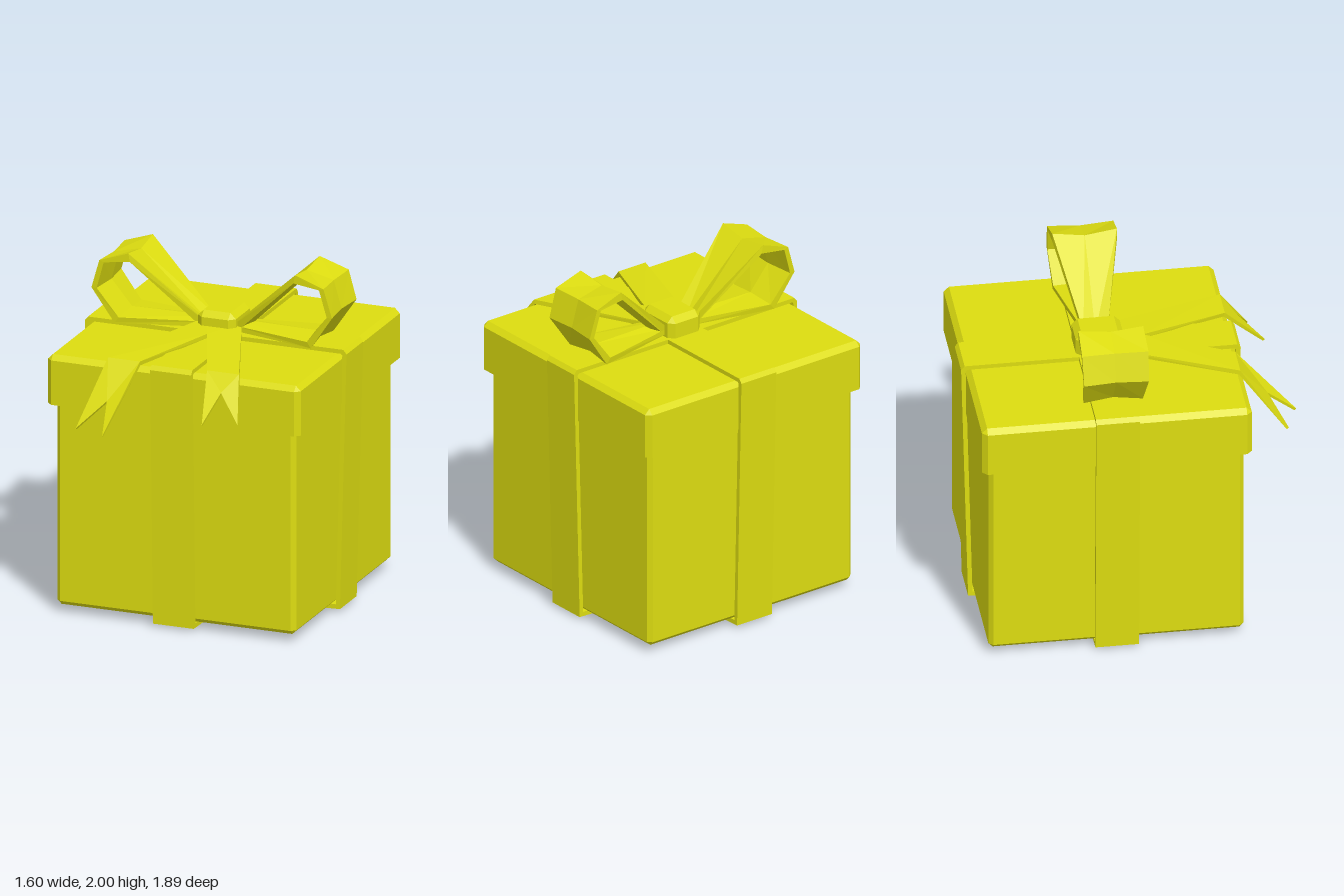
import * as THREE from 'three';
import { ConvexGeometry } from 'three/addons/geometries/ConvexGeometry.js';

const CZ = -0.147; // depth centre of the box; the bow tails reach forward of it

// Box with every edge cut by c; the bottom rim stays sharp if cutBottom is false
function chamferBox(hx, y0, y1, hz, c, cutBottom = true) {
  const pts = [];
  for (const sx of [-1, 1]) for (const sz of [-1, 1]) for (const top of [0, 1]) {
    const y = top ? y1 : y0;
    const cut = top || cutBottom;
    const yIn = cut ? y + (top ? -c : c) : y;
    pts.push(new THREE.Vector3(sx * hx, yIn, sz * (hz - c)));
    pts.push(new THREE.Vector3(sx * (hx - c), yIn, sz * hz));
    if (cut) pts.push(new THREE.Vector3(sx * (hx - c), y, sz * (hz - c)));
  }
  return new ConvexGeometry(pts);
}

// Flat-shaded geometry from points and triangles, optionally mirrored in x
function facets(points, tris, side = 1) {
  const pos = [];
  for (const t of tris) {
    for (const i of side > 0 ? t : [t[0], t[2], t[1]]) {
      const [x, y, z] = points[i];
      pos.push(x * side, y, z);
    }
  }
  const g = new THREE.BufferGeometry();
  g.setAttribute('position', new THREE.Float32BufferAttribute(pos, 3));
  g.computeVertexNormals();
  return g;
}

// Closed band that wraps the box, flaring out around the lid
function bandGeometry() {
  const mirror = half => [...half, ...half.slice().reverse().map(([x, y]) => [-x, y])]
    .map(([x, y]) => new THREE.Vector2(x, y));
  const shape = new THREE.Shape(mirror([[0.125, 0], [0.76, 0.018], [0.8, 1.545], [0.78, 1.57]]));
  shape.holes.push(new THREE.Path(mirror([[0.125, 0.026], [0.735, 0.044], [0.774, 1.535], [0.765, 1.545]])));
  const g = new THREE.ExtrudeGeometry(shape, { depth: 0.25, bevelEnabled: false });
  return g.translate(0, 0, -0.125);
}

// Bow loop: a thick strip, slightly dished across its width
function loopGeometry(side) {
  // outer x, outer y, inner x, inner y, half width
  const path = [
    [0.08, 1.61, 0.1, 1.57, 0.07],
    [0.51, 2.0, 0.5, 1.95, 0.185],
    [0.685, 1.94, 0.658, 1.93, 0.19],
    [0.735, 1.77, 0.703, 1.77, 0.185],
    [0.6, 1.57, 0.575, 1.605, 0.17],
    [0.08, 1.58, 0.08, 1.612, 0.07],
  ];
  const points = [], tris = [];
  path.forEach(([ox, oy, ix, iy, h]) => {
    const dx = (ix - ox) * 0.5, dy = (iy - oy) * 0.5;
    points.push(
      [ox, oy, CZ + h], [ox + dx, oy + dy, CZ], [ox, oy, CZ - h],
      [ix, iy, CZ - h], [ix + dx, iy + dy, CZ], [ix, iy, CZ + h]);
  });
  for (let s = 0; s < path.length - 1; s++) {
    for (let k = 0; k < 6; k++) {
      const a = s * 6 + k, b = s * 6 + (k + 1) % 6;
      tris.push([a, a + 6, b], [b, a + 6, b + 6]);
    }
  }
  return facets(points, tris, side);
}

// Ribbon tail: lies on the lid, folds over its edge and ends in a swallow cut
function tailGeometry(side, outerTip, notch, innerTip) {
  const top = [
    [0, 1.615, CZ], [0.11, 1.615, CZ], [0, 1.607, 0.11],
    [0.4, 1.573, 0.61], [0.205, 1.573, 0.61], outerTip, notch, innerTip,
  ];
  const under = top.map(([x, y, z], i) => i < 5 ? [x, y - 0.025, z - (i > 2 ? 0.008 : 0)] : [x, y - 0.01, z - 0.012]);
  const faces = [[0, 2, 1], [2, 4, 3], [2, 3, 1], [4, 7, 6], [4, 6, 3], [3, 6, 5]];
  const rim = [0, 2, 4, 7, 6, 5, 3, 1];
  const tris = [...faces, ...faces.map(([a, b, c]) => [a + 8, c + 8, b + 8])];
  rim.forEach((a, i) => {
    const b = rim[(i + 1) % rim.length];
    tris.push([a + 8, b + 8, b], [a + 8, b, a]);
  });
  return facets([...top, ...under], tris, side);
}

export function createModel() {
  const group = new THREE.Group();
  const yellow = new THREE.MeshStandardMaterial({ color: 0xdcdc10 });
  yellow.name = 'yellow';

  const add = (name, geometry, z = 0) => {
    const mesh = new THREE.Mesh(geometry, yellow);
    mesh.name = name;
    mesh.position.z = z;
    group.add(mesh);
    return mesh;
  };

  // Box and lid
  add('boxBody', chamferBox(0.73, 0.045, 1.3, 0.73, 0.025), CZ);
  add('lid', chamferBox(0.772, 1.25, 1.545, 0.772, 0.03, false), CZ);

  // Two crossing bands
  add('sideToSideBand', bandGeometry(), CZ);
  add('frontToBackBand', bandGeometry().rotateY(Math.PI / 2), CZ);

  // Bow
  add('bowKnot', chamferBox(0.115, 1.54, 1.695, 0.138, 0.034, false), CZ);
  add('leftBowLoop', loopGeometry(1));
  add('rightBowLoop', loopGeometry(-1));
  add('leftTail', tailGeometry(1, [0.46, 1.33, 0.78], [0.325, 1.48, 0.695], [0.27, 1.33, 0.85]));
  add('rightTail', tailGeometry(-1, [0.49, 1.22, 0.875], [0.34, 1.37, 0.775], [0.3, 1.22, 0.945]));

  return group;
}
